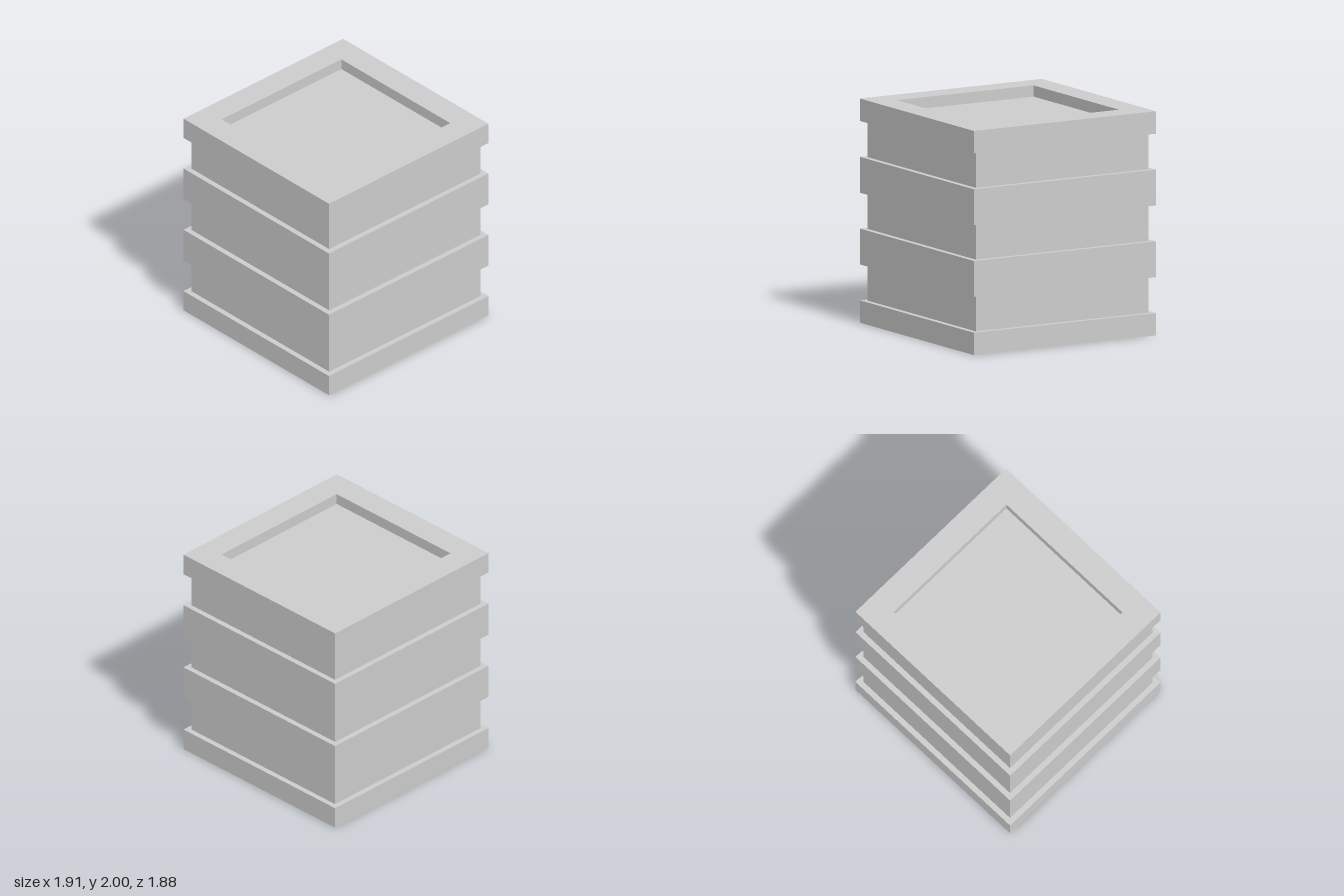
import * as THREE from 'three';

const WIDTH = 1.91, DEPTH = 1.88;   // outer size of rims and ribs
const HEIGHT = 2, RIM = 0.2, BAND = 0.32, RECESS = 0.1;

// Traces a centred rectangle on a Shape or Path.
function rectangle(path, w, d) {
  path.moveTo(-w / 2, -d / 2);
  path.lineTo(w / 2, -d / 2);
  path.lineTo(w / 2, d / 2);
  path.lineTo(-w / 2, d / 2);
  path.closePath();
  return path;
}

export function createModel() {
  const group = new THREE.Group();
  const material = new THREE.MeshStandardMaterial({ color: 0xcccccc, flatShading: true });

  function add(name, geometry, y) {
    const mesh = new THREE.Mesh(geometry, material);
    mesh.name = name;
    mesh.position.y = y;
    group.add(mesh);
  }

  // Core: its ends form the floors of the top and bottom recesses
  add('core', new THREE.BoxGeometry(1.81, HEIGHT - 2 * RECESS, 1.78), HEIGHT / 2);

  // Two raised ribs, with equal grooves between all bands
  ['lowerRib', 'upperRib'].forEach((name, i) => {
    add(name, new THREE.BoxGeometry(WIDTH, BAND, DEPTH), RIM + BAND * (1.5 + 2 * i));
  });

  // Rims: square frames with an opening three quarters of their size
  const outline = rectangle(new THREE.Shape(), WIDTH, DEPTH);
  outline.holes.push(rectangle(new THREE.Path(), WIDTH * 0.75, DEPTH * 0.75));
  const rim = new THREE.ExtrudeGeometry(outline, { depth: RIM, bevelEnabled: false });
  rim.rotateX(-Math.PI / 2);
  add('bottomRim', rim, 0);
  add('topRim', rim, HEIGHT - RIM);

  return group;
}
